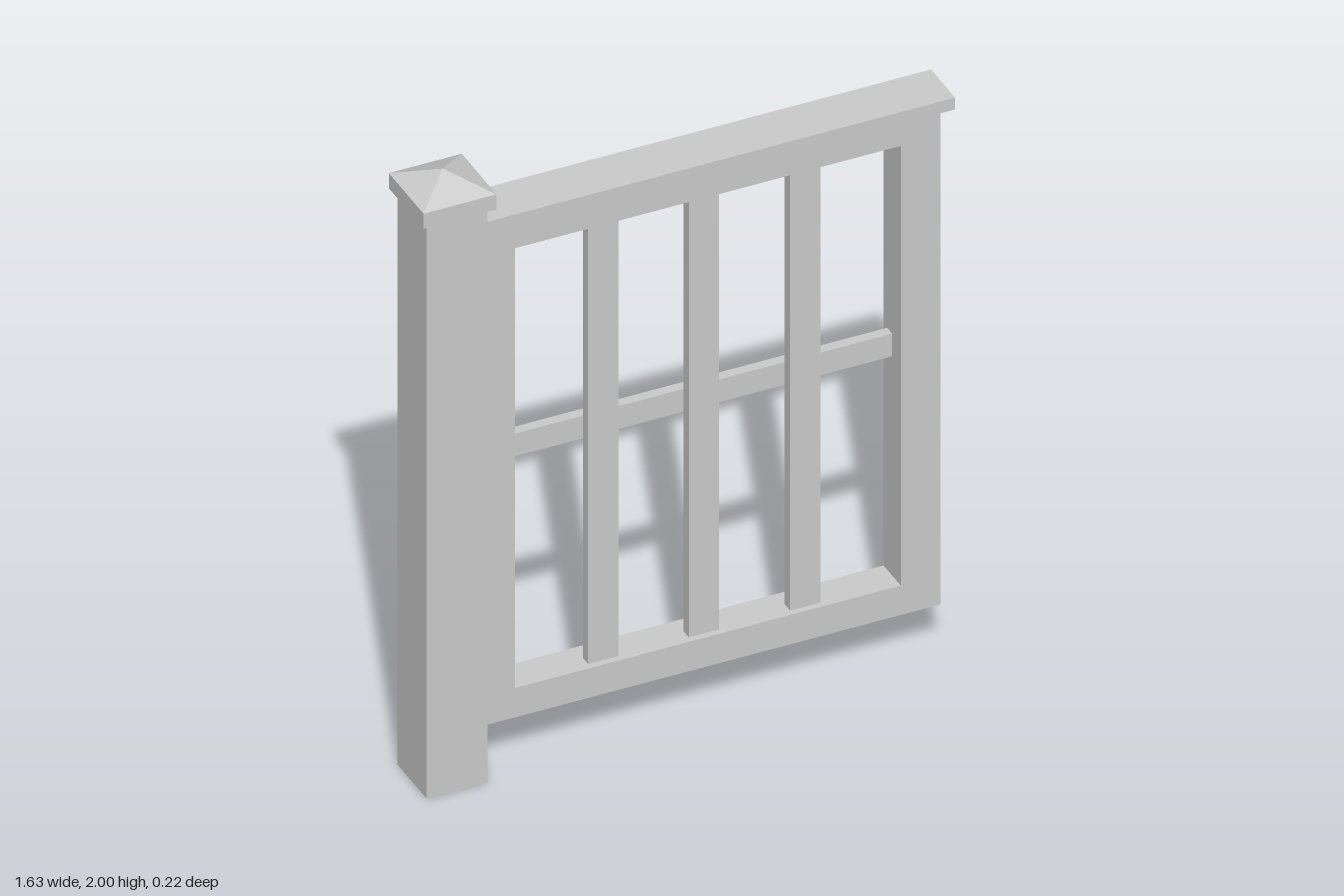
import * as THREE from 'three';

const material = new THREE.MeshStandardMaterial({ color: 0xcccccc, flatShading: true });

function addMesh(group, name, geometry) {
  const mesh = new THREE.Mesh(geometry, material);
  mesh.name = name;
  group.add(mesh);
  return mesh;
}

// Box given by its lower and upper limits on each axis
function addBox(group, name, [x0, x1], [y0, y1], [z0, z1]) {
  const mesh = addMesh(group, name, new THREE.BoxGeometry(x1 - x0, y1 - y0, z1 - z0));
  mesh.position.set((x0 + x1) / 2, (y0 + y1) / 2, (z0 + z1) / 2);
  return mesh;
}

function rectangle(PathType, x0, x1, y0, y1) {
  return new PathType([[x0, y0], [x1, y0], [x1, y1], [x0, y1]].map(([x, y]) => new THREE.Vector2(x, y)));
}

export function createModel() {
  const model = new THREE.Group();
  model.name = 'fencePanel';

  // Square post with a slab and pyramid cap
  const postX = -0.707, capHalf = 0.111;
  addBox(model, 'post', [-0.8, -0.615], [0, 1.9], [-0.0925, 0.0925]);
  addBox(model, 'postCapSlab', [postX - capHalf, postX + capHalf], [1.9, 1.95], [-capHalf, capHalf]);
  const pyramid = new THREE.ConeGeometry(capHalf * Math.SQRT2, 0.05, 4).rotateY(Math.PI / 4);
  addMesh(model, 'postCapPyramid', pyramid).position.set(postX, 1.975, 0);

  // Rectangular frame with one opening
  const frameShape = rectangle(THREE.Shape, -0.615, 0.78, 0.163, 1.803);
  frameShape.holes.push(rectangle(THREE.Path, -0.513, 0.66, 0.26, 1.714));
  const frame = new THREE.ExtrudeGeometry(frameShape, { depth: 0.11, bevelEnabled: false });
  addMesh(model, 'frame', frame).position.z = -0.055;

  // Overhanging top rail
  addBox(model, 'topRail', [-0.615, 0.815], [1.803, 1.842], [-0.077, 0.077]);

  // Upright slats in the front half, cross rail behind them
  for (const x of [-0.235, 0.071, 0.379]) {
    addBox(model, 'slat', [x - 0.046, x + 0.046], [0.26, 1.714], [0, 0.035]);
  }
  addBox(model, 'crossRail', [-0.513, 0.662], [0.985, 1.06], [-0.032, 0]);

  return model;
}
